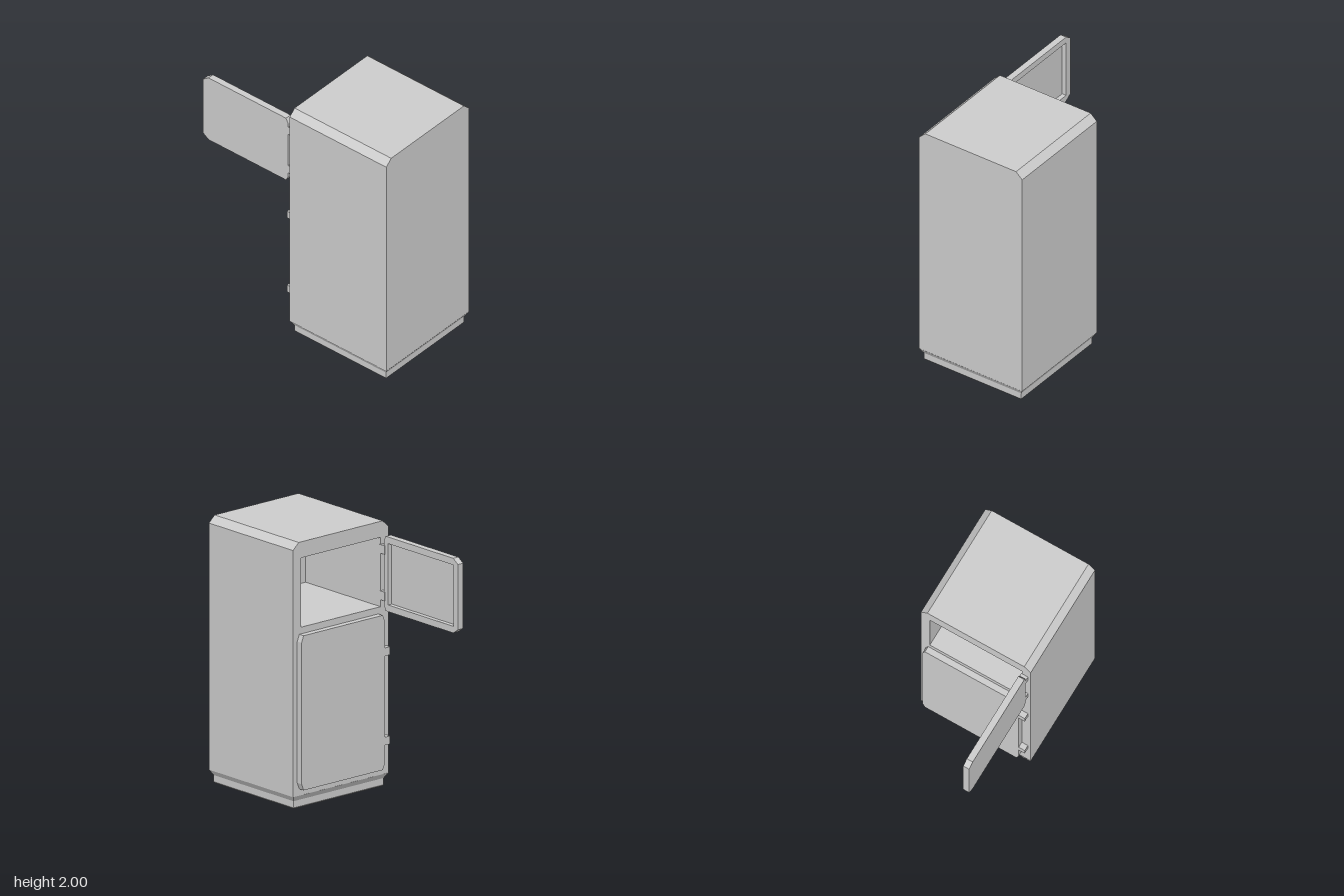
import * as THREE from 'three';

const mat = new THREE.MeshStandardMaterial({ color: 0xcccccc, flatShading: true });

function add(parent, name, geo, x = 0, y = 0, z = 0) {
  const mesh = new THREE.Mesh(geo, mat);
  mesh.name = name;
  mesh.position.set(x, y, z);
  parent.add(mesh);
  return mesh;
}

const poly = (pts) => pts.map(([x, y]) => new THREE.Vector2(x, y));
const rect = (x0, x1, y0, y1) => new THREE.Path(poly([[x0, y0], [x0, y1], [x1, y1], [x1, y0]]));
const extrude = (shape, depth) => new THREE.ExtrudeGeometry(shape, { depth, bevelEnabled: false });

// Square frustum, given half widths
function frustum(top, bottom, y0, y1) {
  const r = Math.SQRT2;
  return new THREE.CylinderGeometry(top * r, bottom * r, y1 - y0, 4)
    .rotateY(Math.PI / 4).translate(0, (y0 + y1) / 2, 0);
}

// Cabinet cross-section with chamfered top edges
function cabinetShape() {
  return new THREE.Shape(poly([
    [-0.457, 0.1], [0.457, 0.1], [0.457, 1.95], [0.403, 2], [-0.403, 2], [-0.457, 1.95],
  ]));
}

// Door with its hinge edge at x = 0, running to -x; hollow on its inner (z = 0) side
function makeDoor(name, width, height, hingeCut, freeCut) {
  const h = height / 2, [a, b] = hingeCut, [c, d] = freeCut;
  const outline = () => new THREE.Shape(poly([
    [-width, -h + d], [-width + c, -h], [-a, -h], [0, -h + b],
    [0, h - b], [-a, h], [-width + c, h], [-width, h - d],
  ]));
  const door = new THREE.Group();
  door.name = name;
  const rim = outline();
  rim.holes.push(rect(-width + 0.05, -0.045, -h + 0.05, h - 0.05));
  add(door, name + 'Rim', extrude(rim, 0.035));
  add(door, name + 'Panel', extrude(outline(), 0.015), 0, 0, 0.035);
  return door;
}

export function createModel() {
  const model = new THREE.Group();
  model.name = 'refrigerator';

  // Cabinet: a hollow front section around the freezer space, then a solid back
  const cabinet = new THREE.Group();
  cabinet.name = 'cabinet';
  model.add(cabinet);
  const front = cabinetShape();
  front.holes.push(rect(-0.383, 0.383, 1.36, 1.88));
  add(cabinet, 'freezerSection', extrude(front, 0.81).rotateY(Math.PI / 2), -0.04);
  add(cabinet, 'cabinetBack', extrude(cabinetShape(), 0.1).rotateY(Math.PI / 2), 0.77);

  // Stepped plinth
  add(cabinet, 'plinthTaper', frustum(0.456, 0.432, 0.06, 0.1), 0.415);
  add(cabinet, 'plinth', frustum(0.432, 0.432, 0.01, 0.06), 0.415);
  add(cabinet, 'plinthFoot', frustum(0.432, 0.424, 0, 0.01), 0.415);

  // Freezer door standing open, lower door closed
  const upper = makeDoor('freezerDoor', 0.8, 0.56, [0.02, 0.04], [0.05, 0.035]);
  upper.position.set(-0.073, 1.62, 0.385);
  const lower = makeDoor('lowerDoor', 0.8, 1.16, [0.02, 0.05], [0.02, 0.05]);
  lower.rotation.y = -Math.PI / 2;
  lower.position.set(-0.037, 0.73, 0.383);
  model.add(upper, lower);

  // Hinges
  for (const y of [1.795, 1.447, 1.03, 0.36]) {
    const h = y > 1.2 ? 0.066 : 0.06;
    add(model, 'hinge', new THREE.BoxGeometry(0.05, h, 0.056), -0.06, y, 0.406);
  }
  return model;
}
